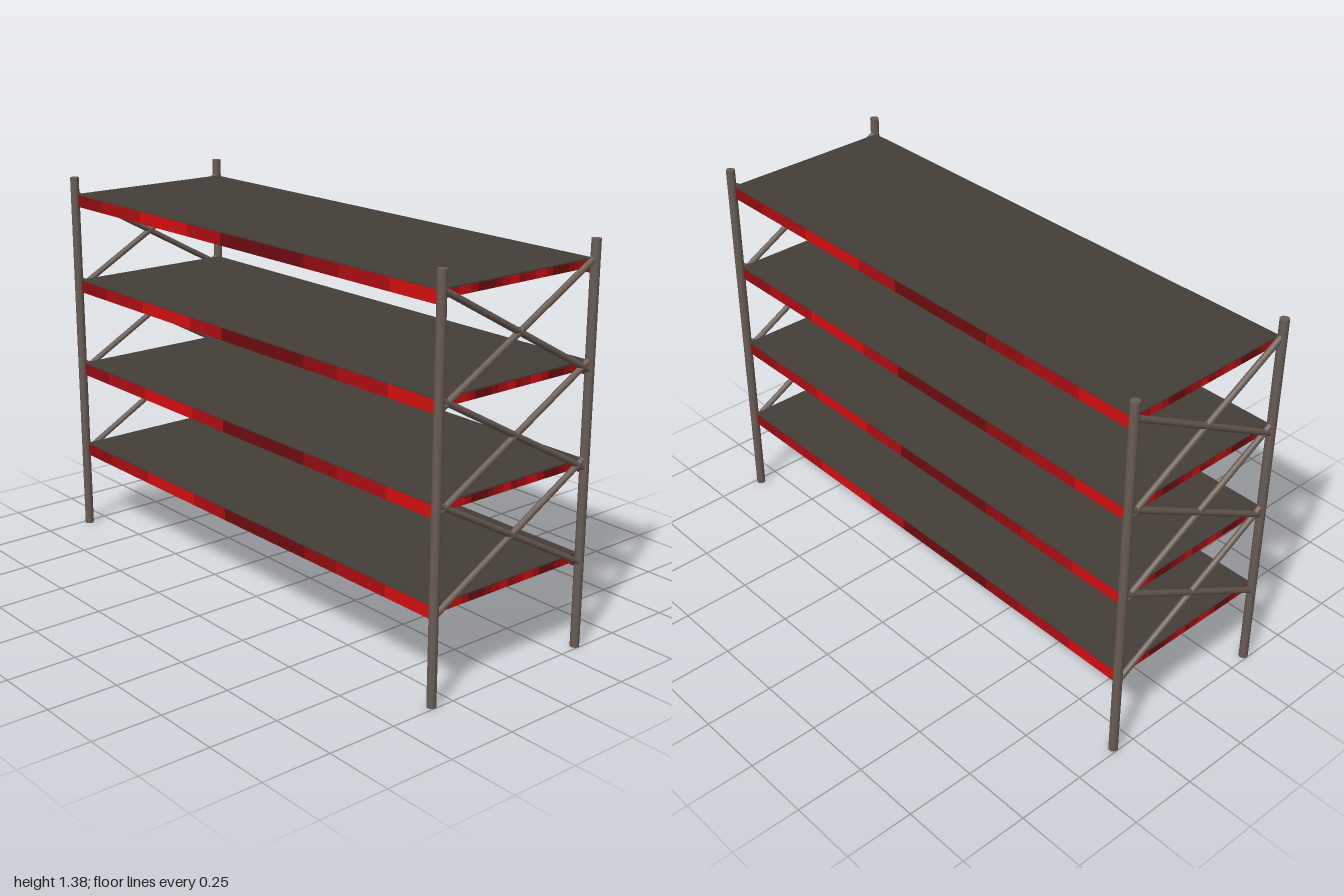
import * as THREE from 'three';

const mat = (name, color) => {
  const m = new THREE.MeshStandardMaterial({ color });
  m.name = name;
  return m;
};

export function createModel() {
  const steel = mat('brown steel', 0x6a5c54);
  const deck = mat('dark deck', 0x443f38);
  const reds = {
    bright: mat('bright red', 0xd40f11),
    mid: mat('mid red', 0xae0e12),
    deep: mat('deep red', 0x920d11),
    dark: mat('dark red', 0x6e0c0f),
  };
  const model = new THREE.Group();
  model.name = 'shelvingRack';

  const X = 0.328, Z = 0.984, R = 0.016, H = 1.38;
  const halfW = 0.325, halfL = 0.975, T = 0.006;
  const levels = [0.335, 0.662, 0.99, 1.318];

  function add(parent, name, geometry, material, x, y, z) {
    const m = new THREE.Mesh(geometry, material);
    m.name = name;
    m.position.set(x, y, z);
    parent.add(m);
    return m;
  }

  // Painted bands along a lip: end of band as a fraction of the length
  const bands = [
    [0.09, 'deep'], [0.215, 'mid'], [0.365, 'bright'], [0.46, 'mid'],
    [0.685, 'dark'], [0.77, 'deep'], [0.89, 'mid'], [1, 'bright'],
  ];

  // A lip running along local x, with the band pattern repeated
  function lip(name, length, height, repeats) {
    const g = new THREE.Group();
    g.name = name;
    const step = length / repeats;
    for (let r = 0; r < repeats; r++) {
      let start = 0;
      for (const [end, tone] of bands) {
        const w = (end - start) * step;
        add(g, 'lipBand', new THREE.BoxGeometry(w, height, T), reds[tone],
          -length / 2 + r * step + start * step + w / 2, -height / 2, 0);
        start = end;
      }
    }
    return g;
  }

  // Four corner posts
  for (const sx of [-1, 1]) for (const sz of [-1, 1])
    add(model, 'post', new THREE.CylinderGeometry(R, R, H, 12), steel, sx * X, H / 2, sz * Z);

  // Shelves: thin deck with lips hanging below its edges
  for (const top of levels) {
    const shelf = new THREE.Group();
    shelf.name = 'shelf';
    shelf.position.y = top;
    add(shelf, 'deck', new THREE.BoxGeometry(2 * halfW, 0.004, 2 * halfL), deck, 0, -0.002, 0);
    for (const s of [-1, 1]) {
      const side = lip('sideLip', 2 * halfL, 0.044, 1);
      side.position.set(s * (halfW - T / 2), -0.004, 0);
      side.rotation.y = s * Math.PI / 2;
      const end = lip('endLip', 2 * (halfW - T), 0.026, 2);
      end.position.set(0, -0.004, s * (halfL - T / 2));
      end.rotation.y = s > 0 ? 0 : Math.PI;
      shelf.add(side, end);
    }
    model.add(shelf);
  }

  // Crossed braces between shelves at both ends
  const rise = 0.364, run = 2 * X;
  const braceGeo = new THREE.CylinderGeometry(0.011, 0.011, Math.hypot(rise, run), 10);
  for (const sz of [-1, 1]) for (const y of [0.484, 0.811, 1.138]) for (const s of [-1, 1])
    add(model, 'crossBrace', braceGeo, steel, 0, y, sz * Z).rotation.z = s * Math.atan2(run, rise);

  return model;
}
